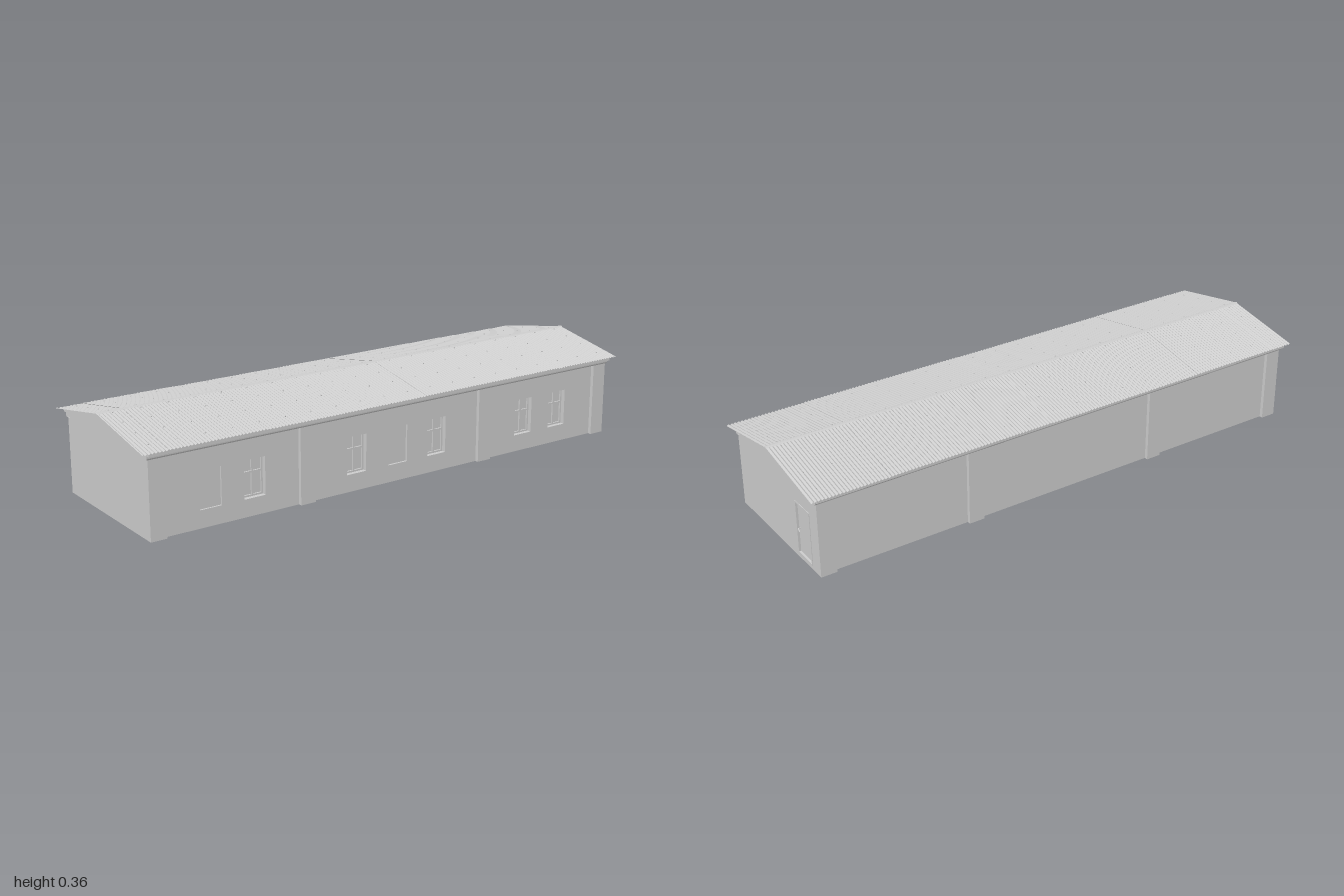
import * as THREE from 'three';
import { mergeGeometries } from 'three/addons/utils/BufferGeometryUtils.js';

const mat = new THREE.MeshStandardMaterial({ color: 0xcccccc, side: THREE.DoubleSide, flatShading: true });

// Sweeps a path of [x, y, z] points along one straight offset, giving a thin sheet.
function ribbon(path, [ox, oy, oz]) {
  const pos = [];
  for (let i = 0; i < path.length - 1; i++) {
    const a = path[i], b = path[i + 1];
    const c = [b[0] + ox, b[1] + oy, b[2] + oz], d = [a[0] + ox, a[1] + oy, a[2] + oz];
    pos.push(...a, ...b, ...c, ...a, ...c, ...d);
  }
  const g = new THREE.BufferGeometry();
  g.setAttribute('position', new THREE.Float32BufferAttribute(pos, 3));
  g.computeVertexNormals();
  return g;
}

const rectPoints = (x0, x1, y0, y1) => [[x0, y0], [x1, y0], [x1, y1], [x0, y1]];
const toVec = pts => pts.map(p => new THREE.Vector2(...p));

// Flat outline in the xy plane, with optional holes.
function sheet(outline, holes = []) {
  const s = new THREE.Shape(toVec(outline));
  holes.forEach(h => s.holes.push(new THREE.Path(toVec(h))));
  return new THREE.ShapeGeometry(s);
}

function box(w, h, d, x, y, z) {
  return new THREE.BoxGeometry(w, h, d).translate(x, y, z);
}

function add(parent, name, geo) {
  const m = new THREE.Mesh(geo, mat);
  m.name = name;
  parent.add(m);
  return m;
}

const HX = 0.97, HZ = 0.278, WALL_Z = 0.265, TOP = 0.285;
const EAVE = { y: 0.297, z: 0.304 }, RIDGE = 0.354;
const slope = Math.atan2(RIDGE - EAVE.y, EAVE.z);
const roofY = z => RIDGE - Math.abs(z) * Math.tan(slope);
const WIN = { w: 0.08, y0: 0.062, y1: 0.195, depth: 0.022 };

// Recessed window: reveal, pane, frame with mullion and transom, inner sill.
function makeWindow(x, blank) {
  const g = new THREE.Group();
  g.name = blank ? 'blindWindow' : 'window';
  const h = WIN.y1 - WIN.y0, w = WIN.w, d = blank ? 0.008 : WIN.depth;
  const loop = rectPoints(-w / 2, w / 2, 0, h);
  add(g, 'reveal', ribbon([...loop, loop[0]].map(p => [p[0], p[1], 0]), [0, 0, -d]));
  add(g, 'pane', sheet(loop).translate(0, 0, -d));
  if (!blank) {
    const t = 0.006, z = -d + 0.003;
    add(g, 'windowFrame', mergeGeometries([
      box(t, h, t, -w / 2 + t / 2, h / 2, z), box(t, h, t, w / 2 - t / 2, h / 2, z),
      box(w, t, t, 0, t / 2, z), box(w, t, t, 0, h - t / 2, z),
      box(t, h, t, 0, h / 2, z), box(w, t, t, 0, h * 0.63, z),
    ]));
    add(g, 'innerSill', box(w + 0.008, 0.005, 0.014, 0, 0, -d - 0.005));
  }
  g.position.set(x, WIN.y0, WALL_Z);
  return g;
}

// Long wall with folded pilasters and a stepped cornice; s is the side (+1 front, -1 back).
function makeLongWall(s, windows) {
  const g = new THREE.Group();
  g.name = s > 0 ? 'frontWall' : 'backWall';
  const holes = windows.map(x => rectPoints(x - WIN.w / 2, x + WIN.w / 2, WIN.y0, WIN.y1));
  add(g, 'wallPanel', sheet(rectPoints(-HX, HX, 0, TOP), holes).translate(0, 0, s * WALL_Z));
  for (const [x0, x1] of [[-HX, -0.912], [-0.41, -0.352], [0.352, 0.41], [0.912, HX]]) {
    const path = [[x0, WALL_Z], [x0, HZ], [x1, HZ], [x1, WALL_Z]].map(([x, z]) => [x, 0, s * z]);
    add(g, 'pilaster', ribbon(path, [0, TOP, 0]));
  }
  const profile = [[0.27, WALL_Z], [0.27, 0.28], [0.275, 0.283], [0.284, 0.284], [0.284, 0.297], [0.296, 0.297]];
  add(g, 'cornice', ribbon(profile.map(([y, z]) => [-0.975, y, s * z]), [1.95, 0, 0]));
  return g;
}

// End wall drawn facing +z, then turned; includes the gable and optional door.
function makeEndWall(s, hasDoor) {
  const g = new THREE.Group();
  g.name = s > 0 ? 'leftEndWall' : 'rightEndWall';
  const [d0, d1, dy0, dy1] = [0.127, 0.225, 0.016, 0.212];
  const opening = rectPoints(d0, d1, dy0, dy1);
  add(g, 'wallPanel', sheet(rectPoints(-HZ, HZ, 0, TOP), hasDoor ? [opening] : []));
  const gable = [[-0.297, 0.284], [0.297, 0.284], [0.297, 0.295], [0, RIDGE - 0.004], [-0.297, 0.295]];
  add(g, 'gable', sheet(gable).translate(0, 0, 0.005));
  add(g, 'gableLedge', ribbon([[-0.297, 0.284, 0], [0.297, 0.284, 0]], [0, 0, 0.005]));
  for (const e of [-1, 1]) {
    add(g, 'corniceEnd', sheet([[e * WALL_Z, 0.27], [e * 0.28, 0.27], [e * 0.283, 0.275],
      [e * 0.284, 0.284], [e * WALL_Z, 0.284]]).translate(0, 0, 0.005));
  }
  if (hasDoor) {
    const t = 0.005, inner = rectPoints(d0 + t, d1 - t, dy0 + t, dy1 - t);
    const frame = new THREE.Shape(toVec(opening));
    frame.holes.push(new THREE.Path(toVec(inner)));
    add(g, 'doorFrame', new THREE.ExtrudeGeometry(frame, { depth: 0.014, bevelEnabled: false }).translate(0, 0, -0.012));
    add(g, 'door', sheet(inner).translate(0, 0, -0.006));
    add(g, 'doorHandle', new THREE.BoxGeometry(0.013, 0.003, 0.003).rotateZ(-0.6).translate(0.146, 0.109, 0.003));
    add(g, 'handleStem', box(0.003, 0.003, 0.008, 0.141, 0.112, -0.001));
  }
  g.rotation.y = s * Math.PI / 2;
  g.position.x = s * HX;
  return g;
}

// One roof slope of corrugated sheets, with purlins, rafters and screws.
function makeRoofSlope(s) {
  const g = new THREE.Group();
  g.name = s > 0 ? 'frontRoofSlope' : 'backRoofSlope';
  const edges = [-1, -0.91, -0.55, 0.09, 0.71, 1], wave = 0.0125;
  for (let i = 0; i < edges.length - 1; i++) {
    const n = Math.round((edges[i + 1] - edges[i]) / wave * 6), path = [];
    for (let k = 0; k <= n; k++) {
      const x = THREE.MathUtils.lerp(edges[i], edges[i + 1], k / n);
      const y = EAVE.y + 0.0018 * Math.sin(x / wave * Math.PI * 2) + (i % 2) * 0.001;
      path.push([x, y, s * EAVE.z]);
    }
    add(g, 'corrugatedSheet', ribbon(path, [0, RIDGE - EAVE.y, -s * EAVE.z]));
  }
  const tilted = (w, h, d, x, z, drop) =>
    new THREE.BoxGeometry(w, h, d).rotateX(s * slope).translate(x, roofY(z) - drop, s * z);
  const purlins = [], rafters = [], screws = [];
  for (const z of [0.015, 0.085, 0.165, 0.25]) {
    purlins.push(tilted(1.93, 0.004, 0.008, 0, z, 0.004));
    for (let k = 0; k < 20; k++) screws.push(tilted(0.003, 0.003, 0.003, -0.95 + k * 0.1, z, -0.002));
  }
  for (let k = 0; k < 8; k++) rafters.push(tilted(0.014, 0.012, 0.3, -0.91 + k * 0.26, 0.145, 0.012));
  add(g, 'purlins', mergeGeometries(purlins));
  add(g, 'rafters', mergeGeometries(rafters));
  add(g, 'roofScrews', mergeGeometries(screws));
  return g;
}

export function createModel() {
  const model = new THREE.Group();
  model.name = 'longHall';

  // Walls
  const windows = [-0.745, -0.58, -0.175, 0, 0.17, 0.575, 0.74];
  const front = makeLongWall(1, windows);
  windows.forEach(x => front.add(makeWindow(x, x === 0)));
  model.add(front, makeLongWall(-1, []), makeEndWall(1, true), makeEndWall(-1, false));
  add(model, 'windowBoard', box(0.08, 0.133, 0.003, -0.745, 0.1285, WALL_Z - 0.008));

  // Roof
  model.add(makeRoofSlope(1), makeRoofSlope(-1));
  const cap = [[-0.009, 0.3535], [-0.003, 0.3565], [0.003, 0.3565], [0.009, 0.3535]];
  add(model, 'ridgeCap', ribbon(cap.map(([z, y]) => [-1, y, z]), [2, 0, 0]));
  return model;
}
